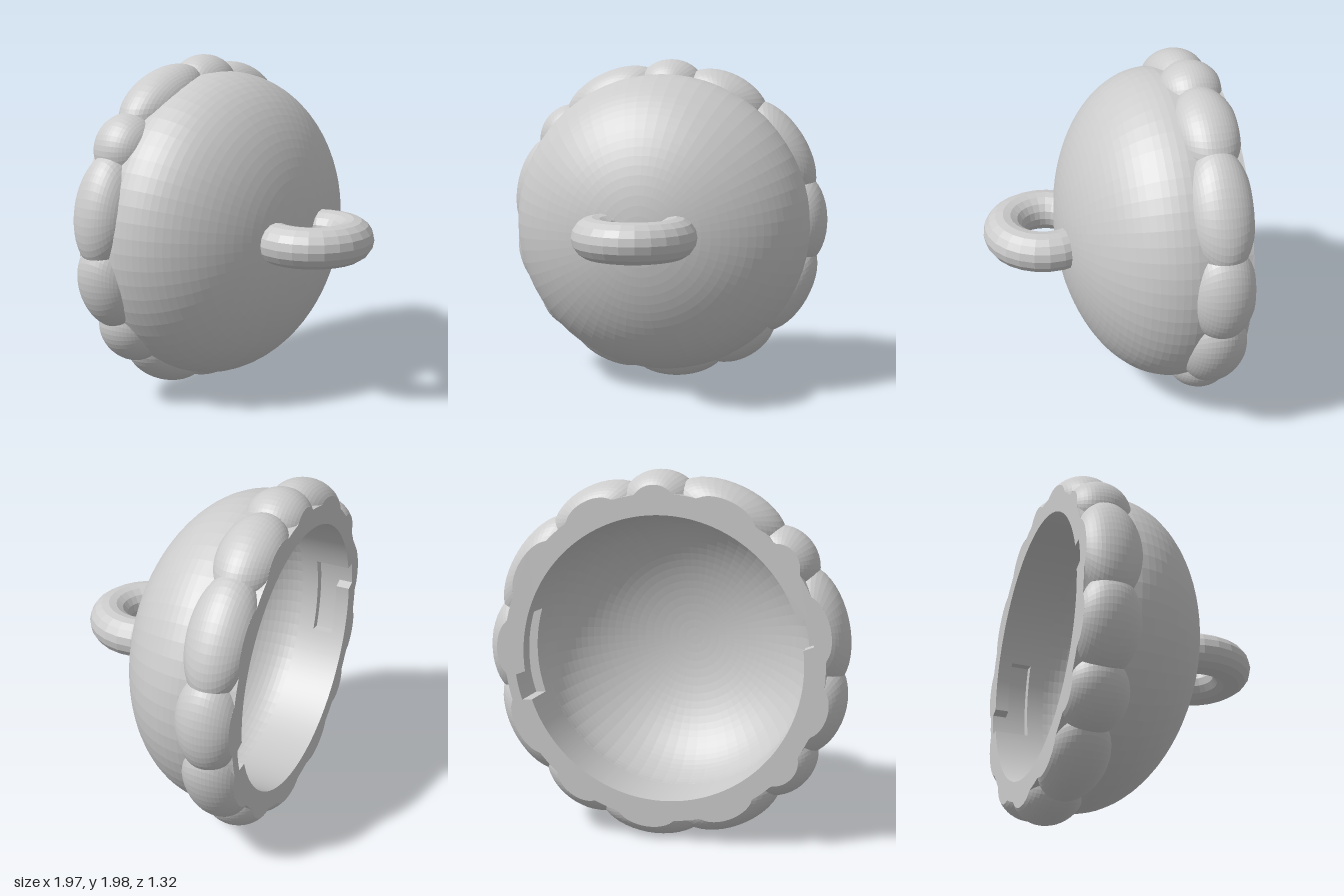
import * as THREE from 'three';

const RAD = Math.PI / 180;
const BACK = -0.66, BORE = 0.76, WALL = 0.87;
// angles where neighbouring beads of the rim meet, in degrees
const JOINTS = [-177.6, -151.2, -129.9, -99.7, -69.4, -43.7, -12, 16.5, 50, 77.9, 98.2, 130.3, 150, 182.4];
const BEAD = { r: 0.82, z: -0.51, radial: 0.17, depth: 0.18 };
const CUT = (BACK - BEAD.z) / BEAD.depth;

const beads = JOINTS.slice(1).map((end, i) => {
  const half = (end - JOINTS[i]) / 2 * RAD;
  return { angle: (end + JOINTS[i]) / 2 * RAD, width: 1.22 * 0.95 * Math.sin(half) };
});

// radius of the rim outline in the flat back plane
function rimRadius(a) {
  const k = Math.sqrt(1 - CUT * CUT), A = BEAD.radial * k;
  let best = WALL;
  for (const b of beads) {
    const c = Math.cos(a - b.angle), s = Math.sin(a - b.angle), B = b.width * k;
    if (c < 0) continue;
    const p = c * c / (A * A) + s * s / (B * B), q = BEAD.r * c / (A * A);
    const disc = q * q - p * (BEAD.r * BEAD.r / (A * A) - 1);
    if (disc > 0) best = Math.max(best, (q + Math.sqrt(disc)) / p);
  }
  return best;
}

// closed loop of points from a polar radius function
function loop(radius, n = 360) {
  return Array.from({ length: n }, (_, i) => {
    const a = (i / n * 360 - 180) * RAD, r = radius(a);
    return new THREE.Vector2(r * Math.cos(a), r * Math.sin(a));
  });
}

// bore with two opposite recesses between the given angles
function bore(from, to) {
  return a => {
    let d = a / RAD;
    if (d > 90) d -= 180;
    if (d < -90) d += 180;
    return d >= from && d <= to ? 0.815 : BORE;
  };
}

export function createModel() {
  const model = new THREE.Group();
  model.name = 'beadedDome';
  const mat = new THREE.MeshStandardMaterial({ color: 0xcccccc, flatShading: true, side: THREE.DoubleSide });
  const body = new THREE.Group();
  body.name = 'body';
  body.position.set(-0.005, 1.01, 0);
  model.add(body);

  const add = (name, geometry) => {
    const mesh = new THREE.Mesh(geometry, mat);
    mesh.name = name;
    body.add(mesh);
    return mesh;
  };

  // elliptical shells turned about the z axis
  const dome = (name, radius, depth, tail) => {
    const pts = [...tail];
    for (let i = 0; i <= 24; i++) {
      const t = i / 24 * Math.PI / 2;
      pts.push(new THREE.Vector2(radius * Math.cos(t), -0.36 + depth * Math.sin(t)));
    }
    pts[pts.length - 1].x = 0;
    return add(name, new THREE.LatheGeometry(pts, 64).rotateX(Math.PI / 2));
  };
  dome('outerDome', 0.9, 0.6, [new THREE.Vector2(WALL, BACK), new THREE.Vector2(0.89, -0.48)]);
  dome('innerDome', BORE, 0.46, []);

  // wall in three layers: entry notches, locking slots, plain bore
  const layer = (name, z0, z1, outer, inner) => {
    const shape = new THREE.Shape(loop(outer));
    shape.holes.push(new THREE.Path(loop(inner)));
    const g = new THREE.ExtrudeGeometry(shape, { depth: z1 - z0, bevelEnabled: false });
    add(name, g.translate(0, 0, z0));
  };
  layer('backRim', BACK, -0.58, rimRadius, bore(-18, -8));
  layer('slotWall', -0.58, -0.46, () => WALL, bore(-18, 16));
  layer('boreWall', -0.46, -0.36, () => WALL, () => BORE);

  // rim beads: ellipsoids cut flat at the back, inner halves kept inside the wall
  beads.forEach((b, i) => {
    const g = new THREE.SphereGeometry(1, 40, 22, 0, Math.PI * 2, 0, Math.acos(CUT));
    g.rotateX(Math.PI / 2).scale(BEAD.radial, b.width, BEAD.depth);
    g.translate(BEAD.r, 0, BEAD.z).rotateZ(b.angle);
    const p = g.attributes.position;
    for (let v = 0; v < p.count; v++) {
      const x = p.getX(v), y = p.getY(v), r = Math.hypot(x, y);
      if (r < 0.84) p.setXY(v, x * 0.84 / r, y * 0.84 / r);
    }
    g.computeVertexNormals();
    add('rimBead' + (i + 1), g);
  });

  // hanging loop, its ends sunk in the dome
  const ring = new THREE.TorusGeometry(0.235, 0.115, 16, 18, 260 * RAD);
  ring.rotateZ(-40 * RAD).rotateX(Math.PI / 2);
  add('hangingLoop', ring).position.set(-0.01, 0.01, 0.305);

  return model;
}
